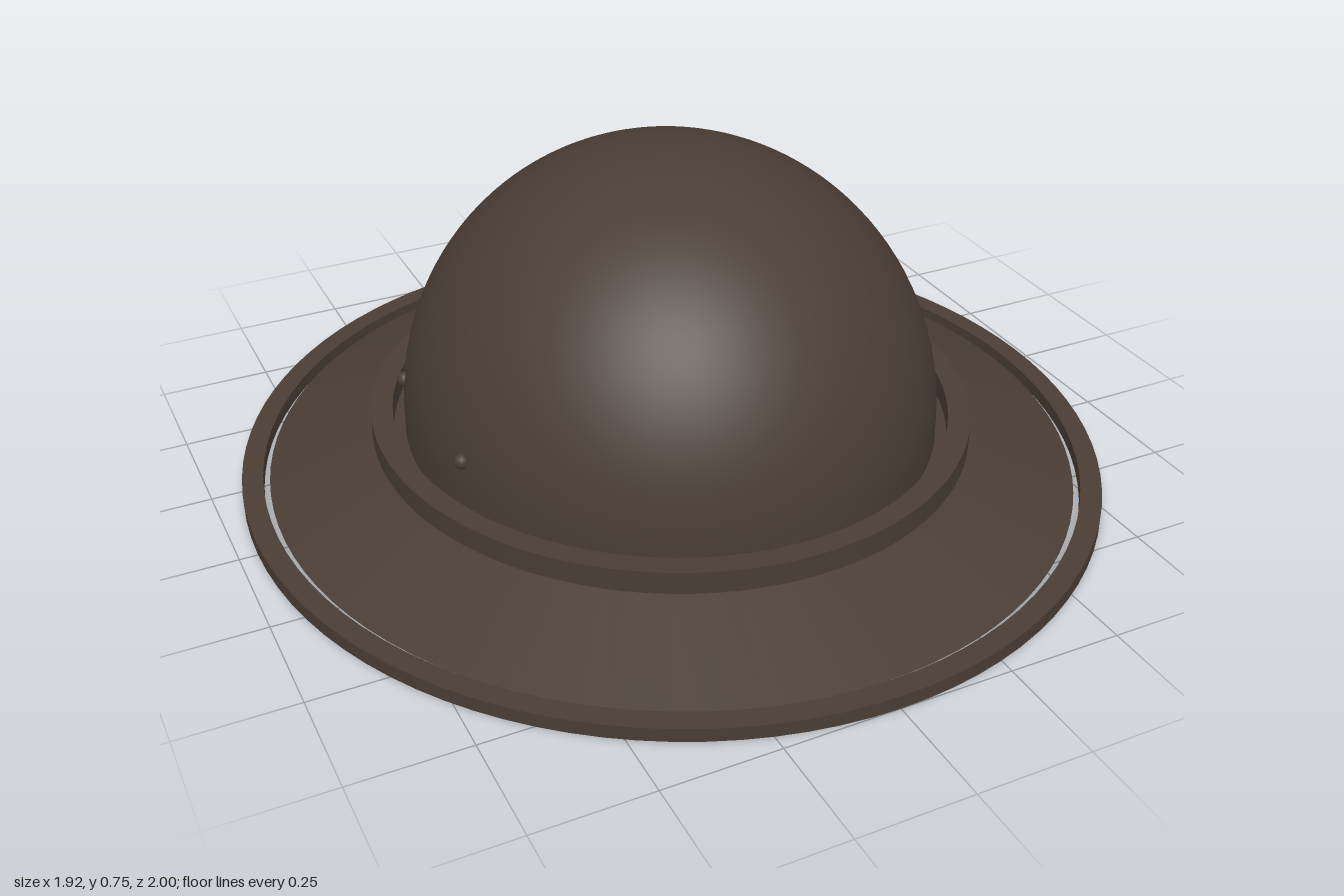
import * as THREE from 'three';
import { toCreasedNormals } from 'three/addons/utils/BufferGeometryUtils.js';

const SEGMENTS = 96;

export function createModel() {
  const felt = new THREE.MeshStandardMaterial({ color: 0x4a3d35 });
  felt.name = 'dark brown';

  const hat = new THREE.Group();
  hat.name = 'hat';

  // Turned parts; profile runs from the bottom outwards, then up and inwards
  const turned = (name, profile, creased = true) => {
    const lathe = new THREE.LatheGeometry(profile.map(([r, y]) => new THREE.Vector2(r, y)), SEGMENTS);
    const mesh = new THREE.Mesh(creased ? toCreasedNormals(lathe, 0.3) : lathe, felt);
    mesh.name = name;
    mesh.scale.x = 0.96; // slightly oval plan
    hat.add(mesh);
  };
  const ring = (name, inner, outer, y0, y1) =>
    turned(name, [[inner, y0], [outer, y0], [outer, y1], [inner, y1], [inner, y0]]);

  // Outer edge ring, with a thin gap between it and the brim
  ring('brimEdge', 0.952, 1, 0, 0.03);

  // Sloping brim with a closed underside
  turned('brim', [[0, 0.016], [0.938, 0.016], [0.695, 0.105], [0, 0.105]]);

  // Raised band standing clear of the crown
  ring('band', 0.645, 0.695, 0.1, 0.155);

  // Domed crown
  const dome = [[0.618, 0.1]];
  for (let i = 0; i <= 32; i++) {
    const a = (i / 32) * Math.PI / 2;
    dome.push([0.618 * Math.cos(a), 0.15 + 0.6 * Math.sin(a)]);
  }
  turned('crown', dome, false);

  // Two small rivets on each side
  const rivetShape = new THREE.SphereGeometry(0.017, 16, 12);
  for (const sx of [1, -1]) {
    for (const sz of [1, -1]) {
      const rivet = new THREE.Mesh(rivetShape, felt);
      rivet.name = 'rivet';
      rivet.position.set(sx * 0.56, 0.23, sz * 0.185);
      hat.add(rivet);
    }
  }
  return hat;
}
